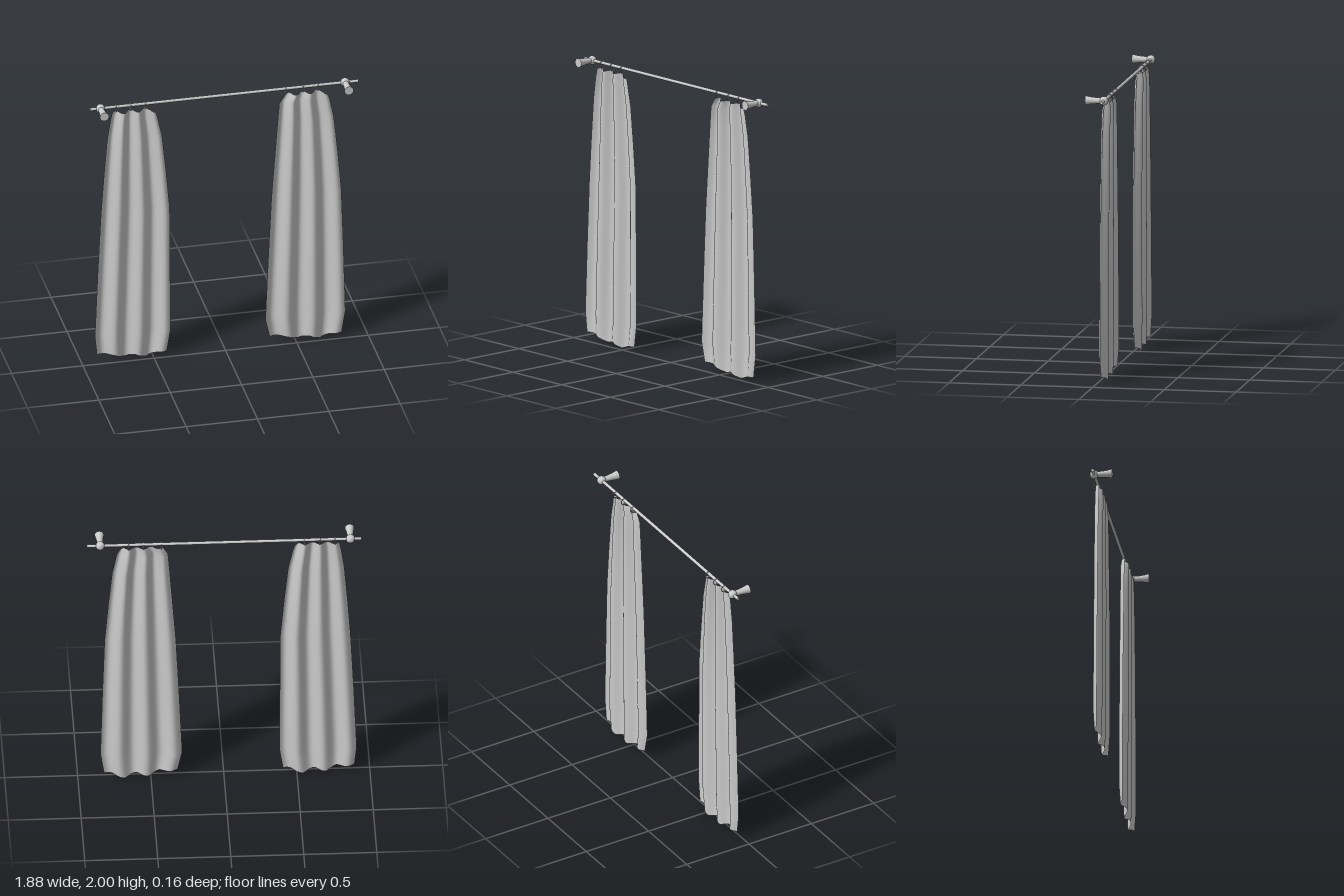
import * as THREE from 'three';

const ROD_Y = 1.97, ROD_Z = -0.05;
const metal = new THREE.MeshStandardMaterial({ color: 0xcccccc });
const cloth = new THREE.MeshStandardMaterial({ color: 0xcccccc, side: THREE.DoubleSide });

function add(parent, name, geometry, material, x = 0, y = 0, z = 0) {
  const mesh = new THREE.Mesh(geometry, material);
  mesh.name = name;
  mesh.position.set(x, y, z);
  parent.add(mesh);
  return mesh;
}

// Heights of the rows that shape a curtain, top to hem
const LEVELS = [1.932, 1.87, 1.72, 1.45, 1.15, 0.7, 0.2, 0.05];

// Hem and top edge heights, across the width
const HEM = [0.06, 0.055, 0.048, 0.018, 0.036, 0.005, 0.035, 0.04];
const HEM_U = [0, 0.1, 0.25, 0.4, 0.55, 0.71, 0.88, 1];

function interpolate(xs, ys, x) {
  let i = 1;
  while (i < xs.length - 1 && x > xs[i]) i++;
  return THREE.MathUtils.mapLinear(x, xs[i - 1], xs[i], ys[i - 1], ys[i]);
}

// Wavy sheet between a left and a right outline (one x per level)
function curtainGeometry(left, right) {
  const cols = 48, rows = LEVELS.length - 1;
  const geometry = new THREE.PlaneGeometry(1, 1, cols, rows);
  const p = geometry.attributes.position;
  for (let r = 0; r <= rows; r++) {
    for (let c = 0; c <= cols; c++) {
      const u = c / cols;
      const fold = Math.cos((u - 0.1) / 0.335 * Math.PI * 2); // 1 at the back, under each ring
      const depth = r === 0 ? 0.02 : r === rows ? 0.018 : 0.025;
      let y = LEVELS[r];
      if (r === 0) y += 0.004 * fold - 0.02 * THREE.MathUtils.smoothstep(u, 0.88, 1);
      if (r === rows) y = interpolate(HEM_U, HEM, u);
      p.setXYZ(r * (cols + 1) + c, THREE.MathUtils.lerp(left[r], right[r], u), y, -0.035 - depth * fold);
    }
  }
  geometry.computeVertexNormals();
  return geometry;
}

export function createModel() {
  const model = new THREE.Group();
  model.name = 'curtains';

  // Rod
  const rod = add(model, 'rod', new THREE.CylinderGeometry(0.011, 0.011, 1.88, 16), metal, 0, ROD_Y, ROD_Z);
  rod.rotation.z = Math.PI / 2;

  // Wall brackets: ball on the rod with a flared foot
  const profile = [[0.02, 0], [0.021, 0.05], [0.025, 0.09], [0.032, 0.127], [0.032, 0.127], [0, 0.127]]
    .map(([r, y]) => new THREE.Vector2(r, y));
  for (const x of [-0.866, 0.848]) {
    const bracket = new THREE.Group();
    bracket.name = 'bracket';
    bracket.position.set(x, ROD_Y, ROD_Z);
    add(bracket, 'ball', new THREE.SphereGeometry(0.031, 20, 14), metal);
    const foot = add(bracket, 'foot', new THREE.LatheGeometry(profile, 24), metal);
    foot.rotation.x = Math.PI / 2;
    model.add(bracket);
  }

  // Rings
  for (const x of [-0.76, -0.656, -0.552, 0.43, 0.55, 0.655]) {
    const ring = add(model, 'ring', new THREE.TorusGeometry(0.024, 0.003, 8, 20), metal, x, 1.958, ROD_Z);
    ring.rotation.y = Math.PI / 2;
  }

  // Curtains
  add(model, 'rightCurtain', curtainGeometry(
    [-0.79, -0.803, -0.825, -0.847, -0.868, -0.89, -0.91, -0.895],
    [-0.485, -0.472, -0.44, -0.412, -0.386, -0.383, -0.38, -0.405]), cloth);
  add(model, 'leftCurtain', curtainGeometry(
    [0.42, 0.382, 0.37, 0.35, 0.328, 0.306, 0.285, 0.315],
    [0.718, 0.735, 0.765, 0.792, 0.817, 0.832, 0.845, 0.82]), cloth);

  return model;
}
